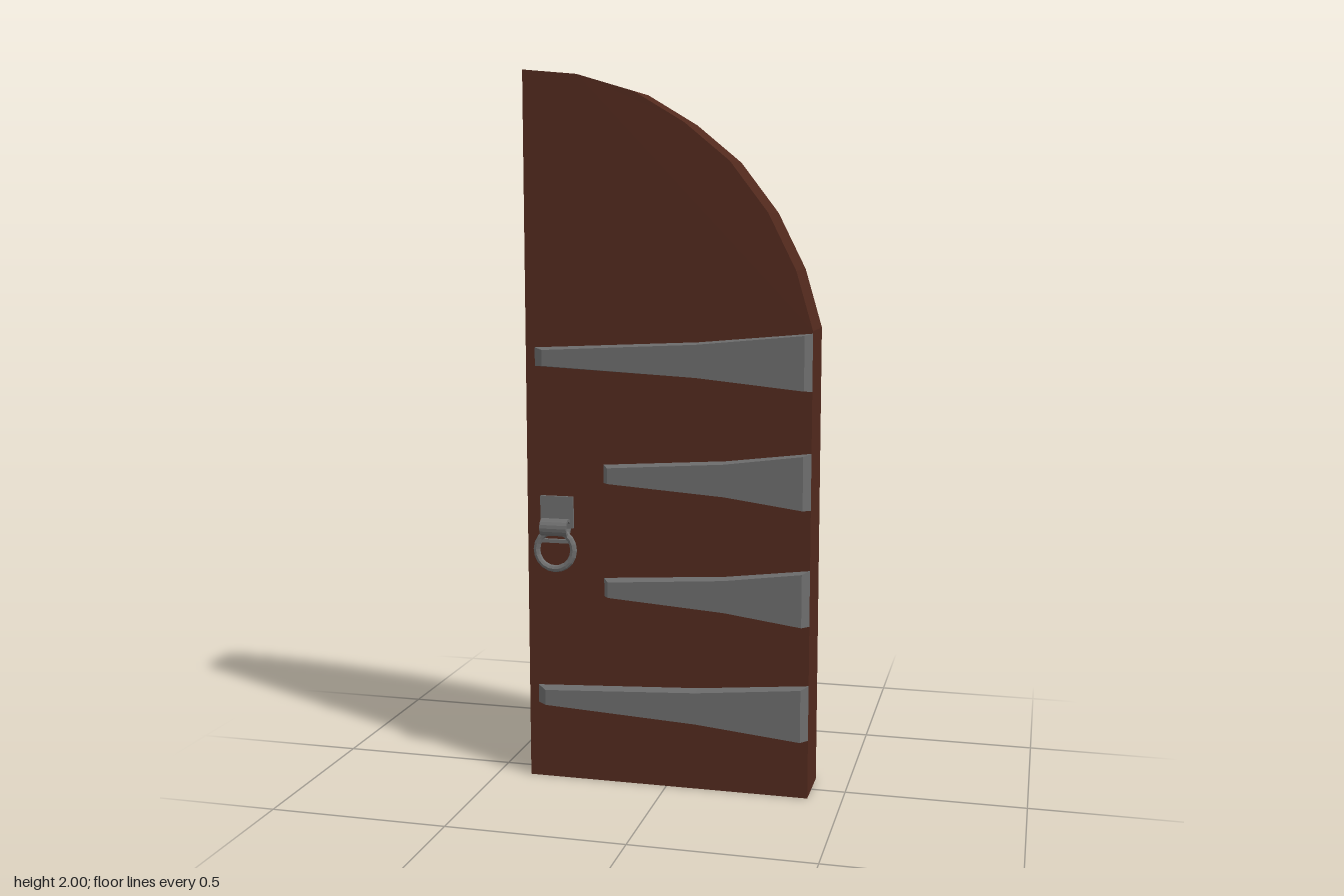
import * as THREE from 'three';

const DOOR_BACK = -0.087, DOOR_FRONT = 0.073, EDGE = 0.404;

const wood = new THREE.MeshStandardMaterial({ color: 0x52291d, flatShading: true });
const iron = new THREE.MeshStandardMaterial({ color: 0x6c6c6c, flatShading: true });

function add(parent, name, geometry, material, x = 0, y = 0, z = 0) {
  const mesh = new THREE.Mesh(geometry, material);
  mesh.name = name;
  mesh.position.set(x, y, z);
  parent.add(mesh);
  return mesh;
}

// Door leaf: straight latch side, quarter arch in seven facets
function doorGeometry() {
  const shape = new THREE.Shape();
  shape.moveTo(-EDGE, 0);
  shape.lineTo(EDGE, 0);
  const arch = [[EDGE, 1.3], [0.357, 1.46], [0.28, 1.613], [0.175, 1.75],
    [0.05, 1.853], [-0.09, 1.937], [-0.25, 1.985], [-EDGE, 2]];
  arch.forEach(([x, y]) => shape.lineTo(x, y));
  shape.closePath();
  return new THREE.ExtrudeGeometry(shape, { depth: DOOR_FRONT - DOOR_BACK, bevelEnabled: false });
}

// Tapered hinge strap with chamfered ends, lofted through three cross-sections
function strapGeometry(tip) {
  const depth = 0.036, chamfer = 0.004;
  const middle = tip + (EDGE - tip) * 0.6;
  const stations = [ // base x, outer x, half height
    [tip, tip + (tip < -0.3 ? 0.032 : 0.02), 0.026],
    [middle, middle, 0.049],
    [EDGE, EDGE - 0.017, 0.078],
  ];
  const rings = stations.map(([xb, xo, h]) => [
    [xb, -h, 0], [xb, h, 0], [xo, h - chamfer, depth], [xo, chamfer - h, depth],
  ]);
  const positions = [];
  const quad = (a, b, c, d) => positions.push(...a, ...b, ...c, ...a, ...c, ...d);
  for (let i = 0; i < 2; i++) {
    for (let j = 0; j < 4; j++) {
      const k = (j + 1) % 4;
      quad(rings[i][j], rings[i][k], rings[i + 1][k], rings[i + 1][j]);
    }
  }
  const [first, , last] = rings;
  quad(first[3], first[2], first[1], first[0]);
  quad(last[0], last[1], last[2], last[3]);
  const geometry = new THREE.BufferGeometry();
  geometry.setAttribute('position', new THREE.Float32BufferAttribute(positions, 3));
  geometry.computeVertexNormals();
  return geometry;
}

// Ring pull: mounting plate, curled eye and hanging ring
function createRingPull() {
  const pull = new THREE.Group();
  pull.name = 'ringPull';
  pull.position.set(-0.316, 0, DOOR_FRONT);
  add(pull, 'mountingPlate', new THREE.BoxGeometry(0.096, 0.09, 0.01), iron, 0, 0.779, 0.004);

  const curl = new THREE.Shape();
  curl.absarc(0, 0, 0.025, 0, Math.PI * 2, false);
  const hole = new THREE.Path();
  hole.absarc(0, 0, 0.017, 0, Math.PI * 2, true);
  curl.holes.push(hole);
  const eye = new THREE.ExtrudeGeometry(curl, { depth: 0.078, bevelEnabled: false, curveSegments: 8 });
  eye.translate(0, 0, -0.039);
  eye.rotateY(Math.PI / 2);
  add(pull, 'curledEye', eye, iron, 0, 0.738, 0.023);

  const ring = add(pull, 'ring', new THREE.TorusGeometry(0.054, 0.01, 8, 20), iron, 0, 0.674, 0.024);
  ring.rotation.x = -0.06;
  add(pull, 'ringBar', new THREE.BoxGeometry(0.084, 0.01, 0.012), iron, 0, 0.699, 0.022);
  return pull;
}

export function createModel() {
  const door = new THREE.Group();
  door.name = 'archedDoor';
  add(door, 'doorLeaf', doorGeometry(), wood, 0, 0, DOOR_BACK);

  // Iron straps on the front, matching wooden ones on the back
  const straps = [[1.216, -0.378], [0.892, -0.18], [0.569, -0.18], [0.245, -0.378]];
  straps.forEach(([y, tip]) => {
    const geometry = strapGeometry(tip);
    add(door, 'frontStrap', geometry, iron, 0, y, DOOR_FRONT);
    add(door, 'backStrap', geometry, wood, 0, y, DOOR_BACK).rotation.x = Math.PI;
  });

  door.add(createRingPull());
  return door;
}
